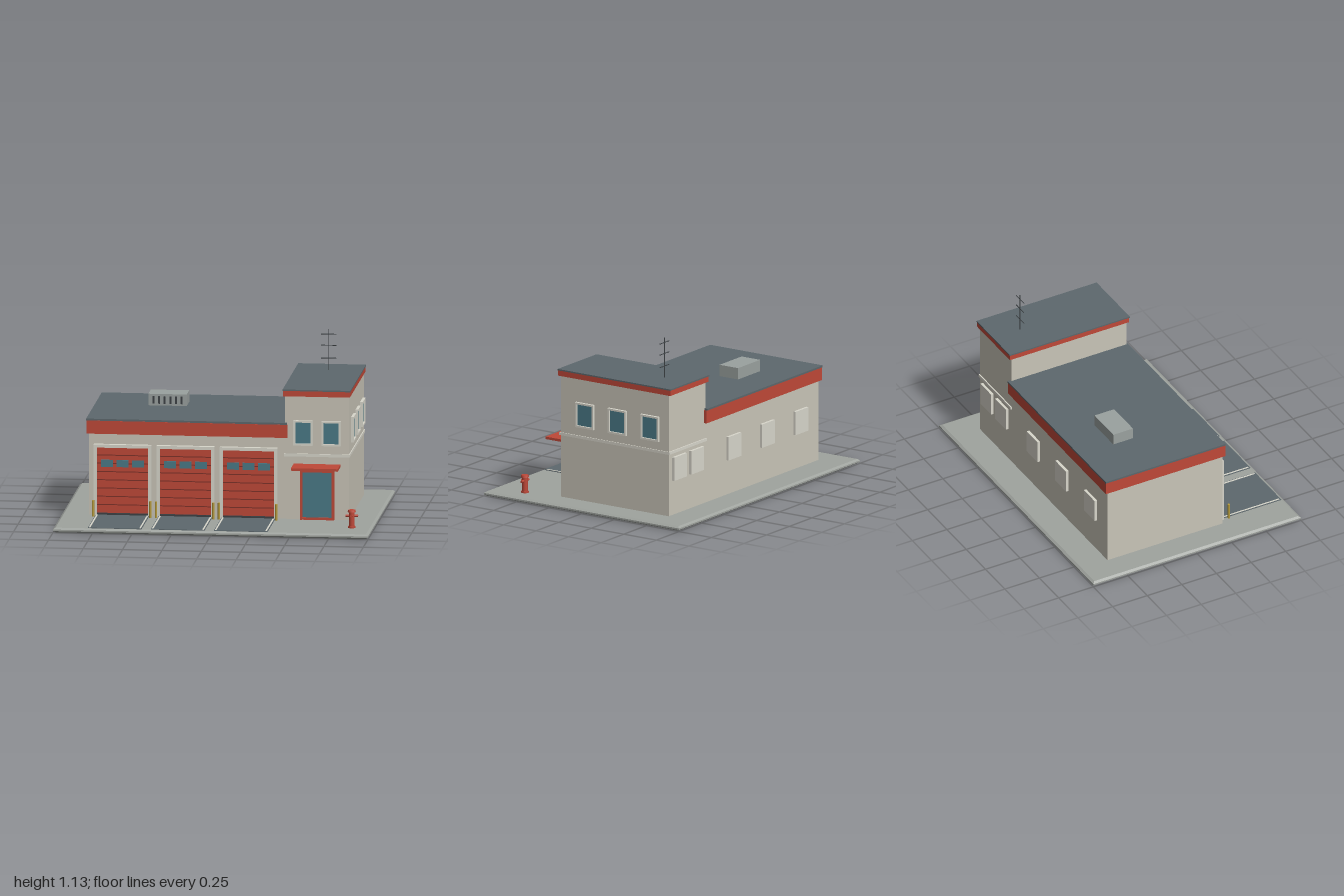
import * as THREE from 'three';

const mat = (color) => new THREE.MeshStandardMaterial({ color });

export function createModel() {
  const root = new THREE.Group();
  const wall = mat(0xc9c5b8), red = mat(0xbf4838), roof = mat(0x5d686d), trim = mat(0xd8d6cb);
  const glass = mat(0x4a7a87), pave = mat(0x9fa39e), dark = mat(0x3c4144), brass = mat(0xb59a3c);
  const metal = mat(0x9aa19f), groove = mat(0x7e3128);

  // box given by its lower and upper limits on each axis
  const box = (name, m, x0, x1, y0, y1, z0, z1, parent = root) => {
    const mesh = new THREE.Mesh(new THREE.BoxGeometry(x1 - x0, y1 - y0, z1 - z0), m);
    mesh.position.set((x0 + x1) / 2, (y0 + y1) / 2, (z0 + z1) / 2);
    mesh.name = name;
    parent.add(mesh);
    return mesh;
  };
  const cyl = (name, m, r, h, x, y, z, parent = root, sides = 10, rTop = r) => {
    const mesh = new THREE.Mesh(new THREE.CylinderGeometry(rTop, r, h, sides), m);
    mesh.position.set(x, y, z);
    mesh.name = name;
    parent.add(mesh);
    return mesh;
  };
  const group = (name, x = 0, y = 0, z = 0) => {
    const g = new THREE.Group();
    g.name = name;
    g.position.set(x, y, z);
    root.add(g);
    return g;
  };
  // rectangular frame facing +z, standing on z = 0 and centred on x and y
  const frame = (name, m, w, h, t, depth, parent, openBottom = false) => {
    const [a, b] = [w / 2, h / 2];
    const low = openBottom ? -b : -b + t;
    for (const s of [-1, 1]) {
      const x = s * (a - t / 2);
      box(name + 'Jamb', m, x - t / 2, x + t / 2, low, b - t, 0, depth, parent);
    }
    box(name + 'Head', m, -a, a, b - t, b, 0, depth, parent);
    if (!openBottom) box(name + 'Sill', m, -a, a, -b, low, 0, depth, parent);
  };

  // ground slab with chamfered rim
  const outline = new THREE.Shape();
  outline.moveTo(-0.985, -0.735).lineTo(0.985, -0.735).lineTo(0.985, 0.735).lineTo(-0.985, 0.735);
  outline.closePath();
  const slabGeo = new THREE.ExtrudeGeometry(outline, {
    depth: 0.01, bevelEnabled: true, bevelThickness: 0.01, bevelSize: 0.015, bevelSegments: 1,
  });
  slabGeo.rotateX(-Math.PI / 2).translate(0, 0.01, 0);
  const slab = new THREE.Mesh(slabGeo, pave);
  slab.name = 'groundSlab';
  root.add(slab);

  // engine hall
  box('hallWalls', wall, -0.825, 0.42, 0.03, 0.56, -0.55, 0.28);
  box('hallFascia', red, -0.838, 0.435, 0.552, 0.636, -0.568, 0.295);
  box('hallRoof', roof, -0.842, 0.432, 0.636, 0.648, -0.572, 0.293);

  // office tower
  box('towerWalls', wall, 0.42, 0.825, 0.03, 0.83, -0.55, 0.28);
  box('towerFascia', red, 0.41, 0.833, 0.82, 0.855, -0.567, 0.295);
  box('towerRoof', roof, 0.406, 0.836, 0.855, 0.864, -0.57, 0.297);
  box('towerStringCourse', trim, 0.415, 0.831, 0.433, 0.451, -0.558, 0.288);

  // garage bays: door, windows, frame, apron and bollards
  for (const x of [-0.61, -0.21, 0.19]) {
    const bay = group('garageBay', x);
    box('garageDoor', red, -0.165, 0.165, 0.045, 0.468, 0.27, 0.29, bay);
    for (let i = 1; i < 8; i++) {
      const y = 0.045 + i * 0.053;
      box('doorGroove', groove, -0.163, 0.163, y - 0.003, y + 0.003, 0.28, 0.292, bay);
    }
    for (const wx of [-0.098, 0, 0.098]) {
      box('doorWindow', glass, wx - 0.038, wx + 0.038, 0.341, 0.386, 0.28, 0.297, bay);
    }
    box('doorThreshold', dark, -0.165, 0.165, 0.03, 0.045, 0.27, 0.3, bay);
    const surround = new THREE.Group();
    surround.name = 'doorFrame';
    surround.position.set(0, 0.258, 0.275);
    bay.add(surround);
    frame('door', trim, 0.366, 0.456, 0.02, 0.033, surround, true);
    box('apron', roof, -0.17, 0.17, 0.028, 0.034, 0.3, 0.73, bay);
    for (const s of [-1, 1]) {
      box('apronLine', trim, s * 0.16 - 0.005, s * 0.16 + 0.005, 0.03, 0.036, 0.31, 0.72, bay);
      cyl('bollard', brass, 0.008, 0.105, s * 0.182, 0.0825, 0.345, bay);
    }
  }

  // entrance with canopy
  const entry = group('entrance', 0.625, 0.19, 0.275);
  frame('entrance', red, 0.216, 0.32, 0.014, 0.031, entry, true);
  box('entranceGlass', glass, -0.095, 0.095, -0.145, 0.147, 0, 0.018, entry);
  box('entranceStep', red, -0.095, 0.095, -0.16, -0.145, 0, 0.025, entry);
  box('entranceHead', red, -0.108, 0.108, 0.155, 0.182, 0, 0.031, entry);
  box('canopy', red, 0.475, 0.772, 0.37, 0.386, 0.28, 0.435);

  // glazed windows, built facing +z and then turned
  const windowAt = (x, y, z, w, h, turn) => {
    const g = group('window', x, y, z);
    g.rotation.y = turn;
    box('windowGlass', glass, -w / 2 + 0.008, w / 2 - 0.008, -h / 2 + 0.008, h / 2 - 0.008, -0.005, 0.006, g);
    frame('window', trim, w, h, 0.012, 0.018, g);
  };
  for (const x of [0.535, 0.713]) windowAt(x, 0.585, 0.28, 0.122, 0.16, 0);
  for (const z of [0.09, -0.16, -0.41]) windowAt(0.825, 0.588, z, 0.14, 0.162, Math.PI / 2);

  // blank panels on the rear wall
  for (const x of [0.72, 0.53, 0.12, -0.25, -0.62]) {
    box('rearPanel', trim, x - 0.07, x + 0.07, 0.255, 0.408, -0.568, -0.545);
  }

  // rooftop ventilation unit
  box('ventUnit', metal, -0.502, -0.258, 0.645, 0.722, -0.328, -0.186);
  for (let i = 0; i < 6; i++) {
    const x = -0.47 + i * 0.036;
    box('ventLouvre', dark, x - 0.006, x + 0.006, 0.66, 0.708, -0.19, -0.181);
  }

  // antenna
  cyl('antennaMast', dark, 0.003, 0.27, 0.622, 0.992, -0.375, root, 8);
  for (const y of [0.94, 1.022, 1.094]) {
    cyl('antennaBar', dark, 0.0028, 0.1, 0.622, y, -0.375, root, 6).rotation.z = Math.PI / 2;
  }

  // hydrant
  const hydrant = group('hydrant', 0.872, 0.03, 0.523);
  cyl('hydrantBase', red, 0.024, 0.01, 0, 0.005, 0, hydrant, 12);
  cyl('hydrantBody', red, 0.018, 0.1, 0, 0.055, 0, hydrant, 12);
  cyl('hydrantCap', red, 0.026, 0.013, 0, 0.108, 0, hydrant, 12, 0.023);
  cyl('hydrantArms', red, 0.008, 0.08, 0, 0.077, 0, hydrant, 10).rotation.z = Math.PI / 2;
  cyl('hydrantOutlet', red, 0.009, 0.02, 0, 0.077, 0.016, hydrant, 10).rotation.x = Math.PI / 2;

  return root;
}
